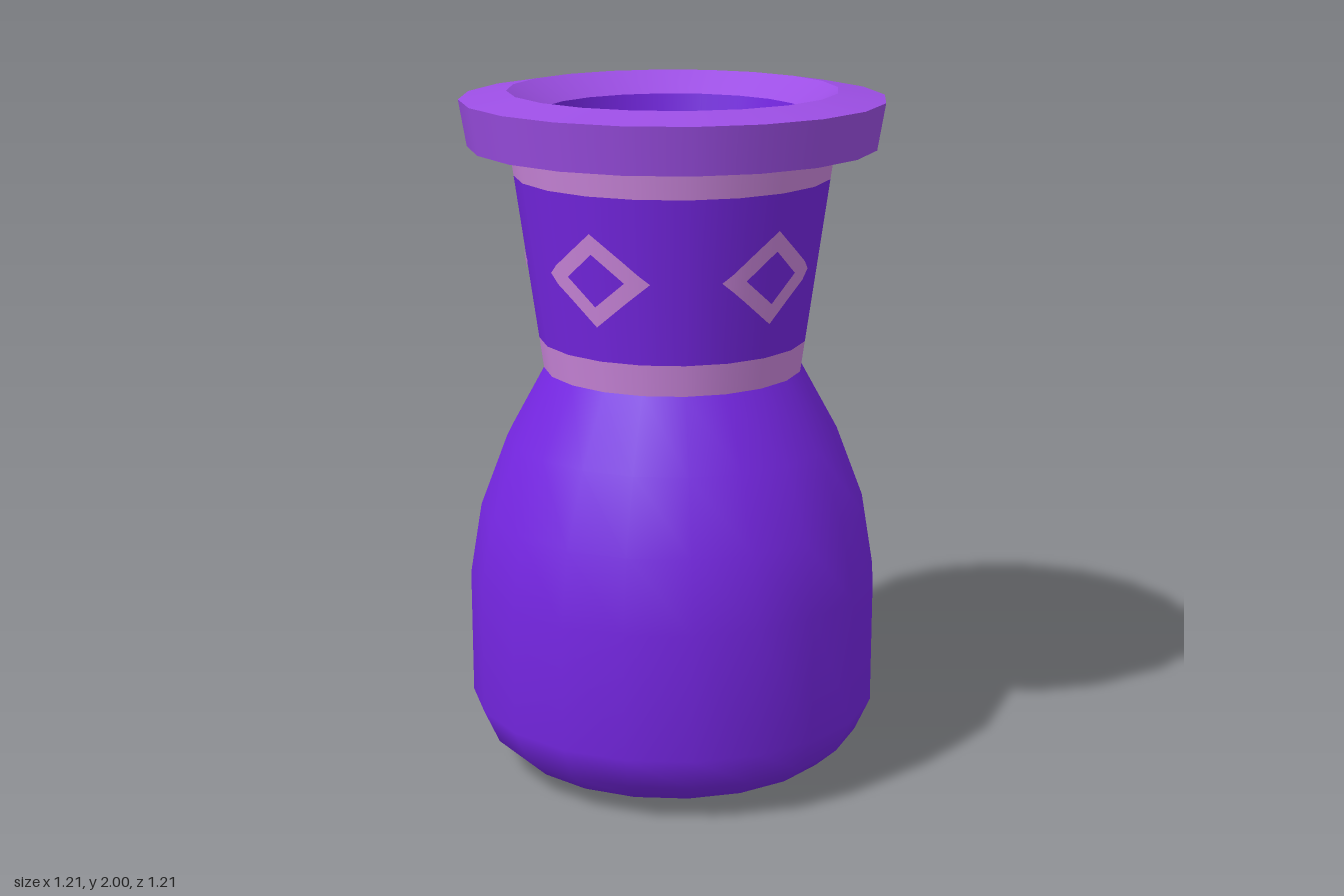
import * as THREE from 'three';

const SIDES = 20;
const NECK = { y0: 1.2, r0: 0.375, y1: 1.845, r1: 0.465 };
const neckRadius = (y) => THREE.MathUtils.mapLinear(y, NECK.y0, NECK.y1, NECK.r0, NECK.r1);

function mat(name, color) {
  const m = new THREE.MeshStandardMaterial({ color });
  m.name = name;
  return m;
}

// Turned part from a profile of [radius, height] points
function turned(name, profile, material) {
  const points = profile.map(([r, y]) => new THREE.Vector2(r, y));
  const mesh = new THREE.Mesh(new THREE.LatheGeometry(points, SIDES), material);
  mesh.name = name;
  return mesh;
}

// Open diamond that follows the facets of the neck, centred on azimuth 0
function diamondGeometry() {
  const step = (Math.PI * 2) / SIDES;
  const deg = Math.PI / 180;
  const midY = 1.523, outerW = 22.5 * deg, outerH = 0.133, innerW = 12.5 * deg, innerH = 0.075;
  const columns = [-outerW, -step, -innerW, 0, innerW, step, outerW];
  const positions = [], normals = [], index = [];
  const slope = (NECK.r1 - NECK.r0) / (NECK.y1 - NECK.y0);
  const addPoint = (a, y) => {
    const within = ((a % step) + step) % step;
    const r = (neckRadius(y) * Math.cos(step / 2)) / Math.cos(within - step / 2) + 0.004;
    positions.push(r * Math.sin(a), y, r * Math.cos(a));
    const n = new THREE.Vector3(Math.sin(a), -slope, Math.cos(a)).normalize();
    normals.push(n.x, n.y, n.z);
  };
  for (const side of [1, -1]) {
    const start = positions.length / 3;
    columns.forEach((a, i) => {
      const inner = innerH * Math.max(0, 1 - Math.abs(a) / innerW);
      const outer = outerH * (1 - Math.abs(a) / outerW);
      const low = side > 0 ? inner : -outer;
      const high = side > 0 ? outer : -inner;
      addPoint(a, midY + low);
      addPoint(a, midY + high);
      if (i > 0) {
        const k = start + (i - 1) * 2;
        index.push(k, k + 2, k + 3, k, k + 3, k + 1);
      }
    });
  }
  const geometry = new THREE.BufferGeometry();
  geometry.setAttribute('position', new THREE.Float32BufferAttribute(positions, 3));
  geometry.setAttribute('normal', new THREE.Float32BufferAttribute(normals, 3));
  geometry.setIndex(index);
  return geometry;
}

export function createModel() {
  const group = new THREE.Group();
  group.name = 'vase';
  const purple = mat('deep purple', 0x7526e2);
  const violet = mat('light violet', 0x9c4ee4);
  const pink = mat('pink mauve', 0xcb86dc);

  // Rounded belly with a flat base
  group.add(turned('body', [
    [0, 0], [0.38, 0], [0.49, 0.05], [0.555, 0.11], [0.6, 0.21],
    [0.6, 0.58], [0.565, 0.79], [0.485, 1.0], [0.375, 1.2],
  ], purple));

  // Flared neck in three stacked bands
  const bands = [
    ['lowerNeckBand', 1.2, 1.29, pink],
    ['neck', 1.29, 1.76, purple],
    ['upperNeckBand', 1.76, 1.845, pink],
  ];
  for (const [name, a, b, material] of bands) {
    group.add(turned(name, [[neckRadius(a), a], [neckRadius(b), b]], material));
  }

  // Five diamonds around the neck
  const diamond = diamondGeometry();
  for (let i = 0; i < 5; i++) {
    const mesh = new THREE.Mesh(diamond, pink);
    mesh.name = 'neckDiamond';
    mesh.rotation.y = (i * Math.PI * 2) / 5;
    group.add(mesh);
  }

  // Rim, one turned strip per face so its edges stay sharp
  const rim = [[0.465, 1.845], [0.583, 1.845], [0.605, 1.977], [0.47, 2.0], [0.375, 1.94]];
  const rimNames = ['rimUnderside', 'rimSide', 'rimTop', 'rimFunnel'];
  rimNames.forEach((name, i) => group.add(turned(name, [rim[i], rim[i + 1]], violet)));

  // Hollow inside the neck
  group.add(turned('innerWall', [[0.375, 1.94], [0.242, 1.22]], purple));
  group.add(turned('innerFloor', [[0.242, 1.22], [0, 1.22]], purple));

  return group;
}
